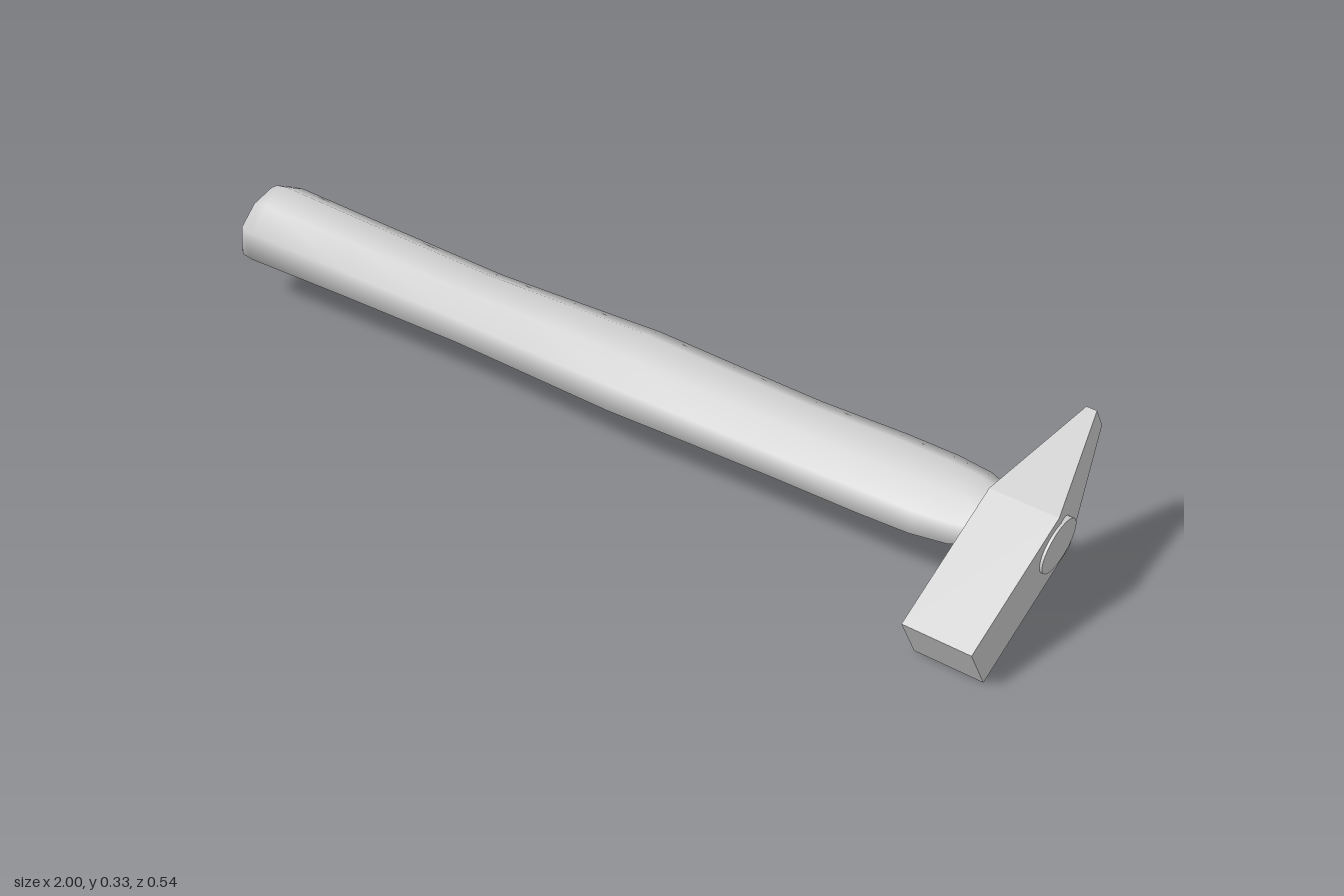
import * as THREE from 'three';

// Skin closed rings of [x, y, z] points; end caps get their own vertices so their edges stay sharp.
function loft(rings, flat) {
  const n = rings[0].length;
  const last = rings.length - 1;
  const points = [...rings, rings[0], rings[last]].flat();
  const index = [];
  for (let i = 0; i < last; i++) {
    for (let j = 0; j < n; j++) {
      const k = (j + 1) % n;
      const a = i * n + j, b = i * n + k, c = b + n, d = a + n;
      index.push(a, b, c, a, c, d);
    }
  }
  const start = (last + 1) * n;
  const end = start + n;
  for (let j = 1; j < n - 1; j++) {
    index.push(start, start + j + 1, start + j);
    index.push(end, end + j, end + j + 1);
  }
  let geometry = new THREE.BufferGeometry();
  geometry.setAttribute('position', new THREE.Float32BufferAttribute(points.flat(), 3));
  geometry.setIndex(index);
  if (flat) geometry = geometry.toNonIndexed();
  geometry.computeVertexNormals();
  return geometry;
}

export function createModel() {
  const group = new THREE.Group();
  group.name = 'hammer';
  const material = new THREE.MeshStandardMaterial({ color: 0xcccccc });
  const add = (name, geometry) => {
    const mesh = new THREE.Mesh(geometry, material);
    mesh.name = name;
    group.add(mesh);
    return mesh;
  };

  // Handle: eight-sided oval sections [x, half height, half depth, z offset]
  const sections = [
    [-0.998, 0.058, 0.084, 0.039],
    [-0.985, 0.066, 0.095, 0.039],
    [-0.96, 0.069, 0.099, 0.038],
    [-0.7, 0.062, 0.094, 0.034],
    [-0.4, 0.056, 0.09, 0.03],
    [-0.2, 0.055, 0.096, 0.025],
    [0, 0.054, 0.102, 0.02],
    [0.2, 0.048, 0.098, 0.017],
    [0.4, 0.045, 0.095, 0.014],
    [0.6, 0.047, 0.097, 0.008],
    [0.72, 0.045, 0.095, 0.005],
    [0.8, 0.042, 0.086, 0.002],
    [0.86, 0.04, 0.066, 0],
  ];
  const outline = [[1, 0], [0.76, 0.66], [0, 1], [-0.76, 0.66], [-1, 0], [-0.76, -0.66], [0, -1], [0.76, -0.66]];
  add('handle', loft(sections.map(([x, h, d, z]) => outline.map(([u, v]) => [x, u * h, z + v * d])), false));

  // Head: square striking block tapering to a blunt wedge, sections [z, half width, half height]
  const corners = [[1, 1], [-1, 1], [-1, -1], [1, -1]];
  const headSections = [[-0.276, 0.012, 0.027], [-0.03, 0.078, 0.054], [0.292, 0.078, 0.054]];
  add('head', loft(headSections.map(([z, w, h]) => corners.map(([u, v]) => [0.916 + u * w, v * h, z])), true));

  // Handle end showing through the eye of the head
  const eye = new THREE.CylinderGeometry(1, 1, 0.1, 32).rotateZ(-Math.PI / 2).scale(1, 0.039, 0.063);
  add('handleTip', eye).position.x = 0.95;

  // Rest the hammer on the lower edge of its striking face
  group.rotation.x = 0.48;
  group.position.set(0, 0.183, -0.014);
  return group;
}
